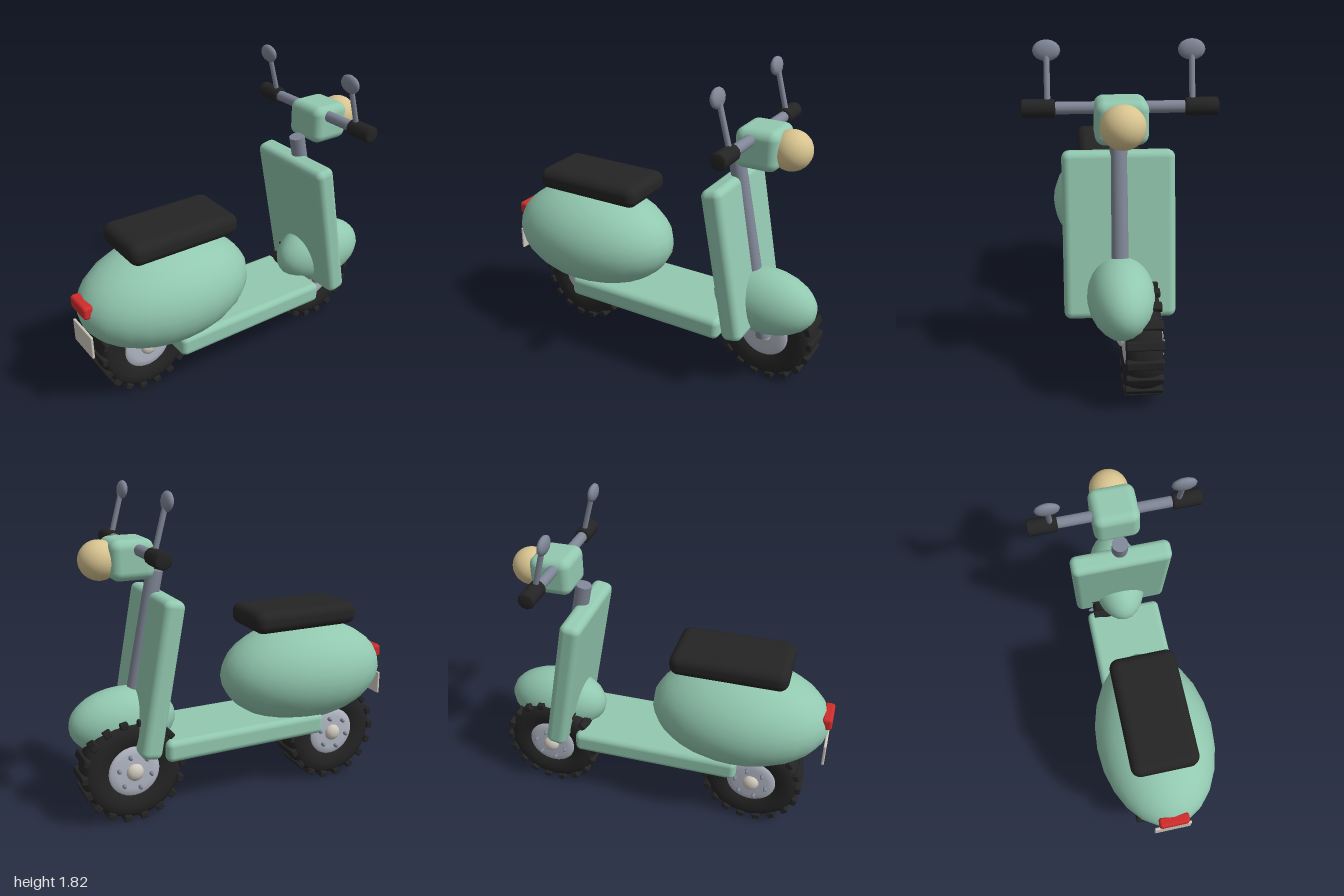
import * as THREE from 'three';
import { RoundedBoxGeometry } from 'three/addons/geometries/RoundedBoxGeometry.js';

const paint = (name, color) => {
  const m = new THREE.MeshStandardMaterial({ color });
  m.name = name;
  return m;
};

export function createModel() {
  const mint = paint('mint paint', 0x92c8b0);
  const black = paint('black rubber', 0x242424);
  const steel = paint('grey steel', 0x7f8696);
  const silver = paint('silver rim', 0xb4b9c6);
  const cream = paint('headlight cream', 0xd8c490);
  const red = paint('tail light red', 0xd02c2c);
  const ivory = paint('ivory metal', 0xcfc9be);

  const scooter = new THREE.Group();
  scooter.name = 'scooter';

  const add = (name, geometry, material, x, y, z, parent = scooter) => {
    const mesh = new THREE.Mesh(geometry, material);
    mesh.name = name;
    mesh.position.set(x, y, z);
    parent.add(mesh);
    return mesh;
  };
  const box = (w, h, d, r) => new RoundedBoxGeometry(w, h, d, 4, r);
  const ellipsoid = (rx, ry, rz, w = 24, h = 16) =>
    new THREE.SphereGeometry(1, w, h).scale(rx, ry, rz);
  const lathe = (points, segments) =>
    new THREE.LatheGeometry(points.map(([r, y]) => new THREE.Vector2(r, y)), segments)
      .rotateX(Math.PI / 2);
  // Cylinder running between two points
  const rod = (name, a, b, radius, material, sides = 16) => {
    const from = new THREE.Vector3(...a), to = new THREE.Vector3(...b);
    const dir = to.clone().sub(from);
    const mid = from.add(to).multiplyScalar(0.5);
    const mesh = add(name, new THREE.CylinderGeometry(radius, radius, dir.length(), sides),
      material, mid.x, mid.y, mid.z);
    mesh.quaternion.setFromUnitVectors(new THREE.Vector3(0, 1, 0), dir.normalize());
    return mesh;
  };

  // Body, floor and leg shield
  add('rearBody', ellipsoid(0.527, 0.305, 0.347), mint, -0.463, 0.68, 0);
  add('frontFender', ellipsoid(0.307, 0.195, 0.175), mint, 0.69, 0.54, 0);
  add('floorBoard', box(1.005, 0.128, 0.475, 0.035), mint, 0.008, 0.391, 0);
  add('legShield', box(0.122, 0.88, 0.585, 0.04), mint, 0.541, 0.825, 0).rotation.z = 0.185;

  // Seat
  add('seat', box(0.675, 0.13, 0.38, 0.055), black, -0.405, 1.04, 0);

  // Tail light and plate
  add('tailLight', box(0.06, 0.078, 0.175, 0.018), red, -0.97, 0.745, 0);
  add('rearPlate', box(0.016, 0.14, 0.22, 0.006), ivory, -0.98, 0.538, 0);

  // Steering column, head and headlight
  rod('steeringColumn', [0.7, 0.3, 0], [0.475, 1.375, 0], 0.046, steel);
  add('handlebarHead', box(0.24, 0.218, 0.26, 0.05), mint, 0.63, 1.456, 0);
  add('headlight', ellipsoid(0.11, 0.108, 0.11), cream, 0.783, 1.453, 0);

  // Handlebar with mirrored grips and mirrors
  rod('handlebar', [0.6, 1.51, -0.34], [0.6, 1.51, 0.34], 0.031, steel);
  const gripProfile = [[0, -0.083], [0.036, -0.083], [0.046, -0.074],
    [0.046, 0.074], [0.036, 0.083], [0, 0.083]];
  for (const side of [-1, 1]) {
    const label = side > 0 ? 'Front' : 'Back';
    add('grip' + label, lathe(gripProfile, 12), black, 0.6, 1.51, side * 0.398);
    rod('mirrorStalk' + label, [0.605, 1.51, side * 0.353], [0.537, 1.76, side * 0.353],
      0.015, steel, 10);
    add('mirror' + label, ellipsoid(0.026, 0.052, 0.068, 12, 8), steel,
      0.528, 1.778, side * 0.353).rotation.z = 0.12;
  }

  // Wheels: tyre with tread blocks, rim, hub caps and bolts
  const tyreProfile = [[0.14, -0.072], [0.17, -0.086], [0.21, -0.092], [0.25, -0.088],
    [0.274, -0.07], [0.284, -0.035], [0.286, 0], [0.284, 0.035], [0.274, 0.07],
    [0.25, 0.088], [0.21, 0.092], [0.17, 0.086], [0.14, 0.072]];
  const rimProfile = [[0, -0.092], [0.1, -0.09], [0.135, -0.084], [0.152, -0.07],
    [0.152, 0.07], [0.135, 0.084], [0.1, 0.09], [0, 0.092]];
  const makeWheel = (name, x) => {
    const wheel = new THREE.Group();
    wheel.name = name;
    wheel.position.set(x, 0.302, -0.1);
    scooter.add(wheel);
    add('tyre', lathe(tyreProfile, 36), black, 0, 0, 0, wheel);
    add('rim', lathe(rimProfile, 32), silver, 0, 0, 0, wheel);
    const blocks = 18;
    for (let i = 0; i < blocks; i++) {
      const a = (i / blocks) * Math.PI * 2;
      add('treadBlock', box(0.036, 0.046, 0.19, 0.008), black,
        Math.cos(a) * 0.279, Math.sin(a) * 0.279, 0, wheel).rotation.z = a;
    }
    for (const side of [-1, 1]) {
      add('hubCap', ellipsoid(0.05, 0.05, 0.035, 12, 8), ivory, 0, 0, side * 0.09, wheel);
    }
    for (let i = 0; i < 6; i++) {
      const a = (i / 6) * Math.PI * 2 + 0.25;
      add('bolt', ellipsoid(0.012, 0.012, 0.024, 8, 6), steel,
        Math.cos(a) * 0.095, Math.sin(a) * 0.095, -0.098, wheel);
    }
  };
  makeWheel('frontWheel', 0.69);
  makeWheel('rearWheel', -0.585);

  return scooter;
}
